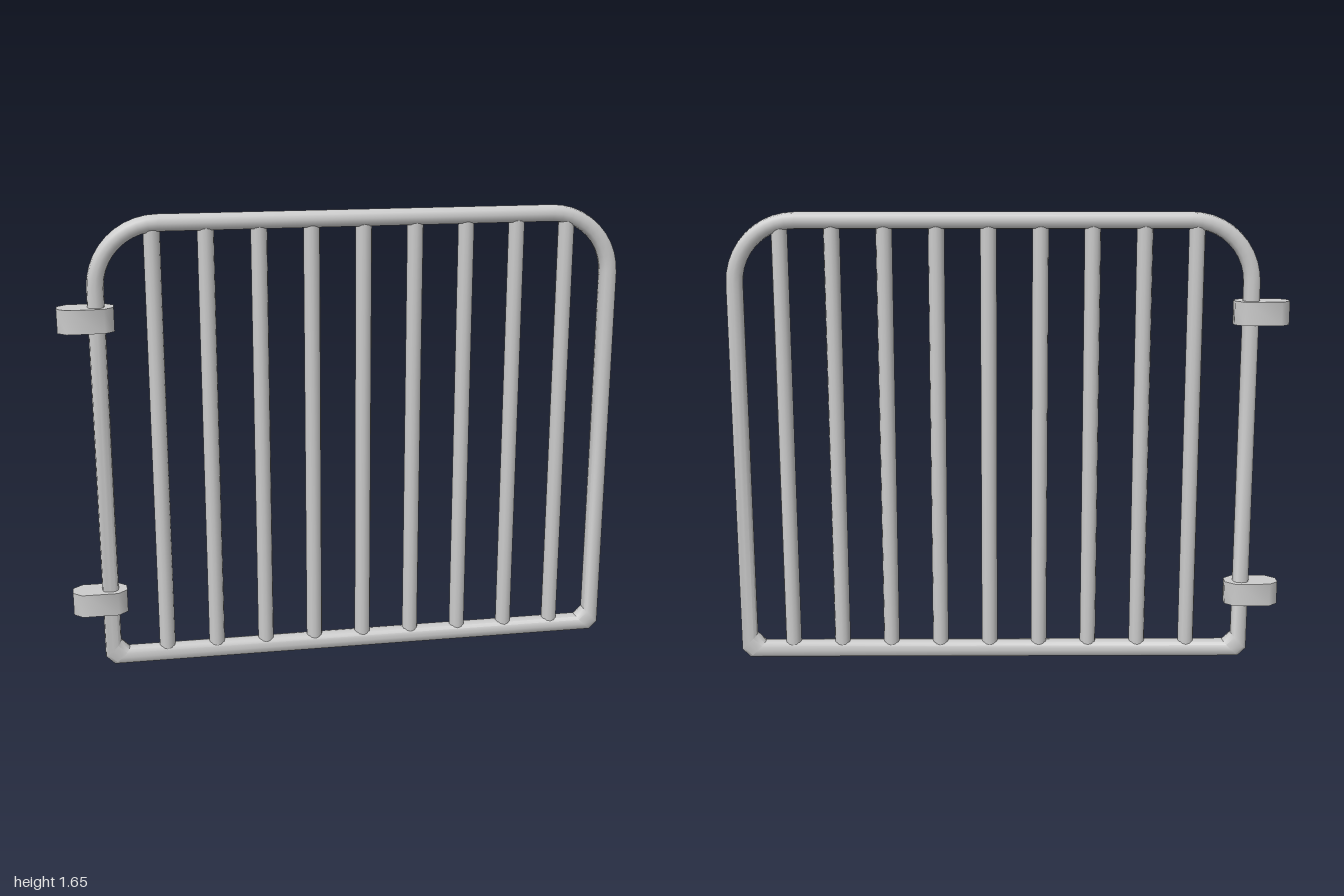
import * as THREE from 'three';
import { toCreasedNormals } from 'three/addons/utils/BufferGeometryUtils.js';

const LEFT = -0.865, RIGHT = 0.97, BOTTOM = 0.03, TOP = 1.625; // tube centre lines
const BEND = 0.22, HALF_W = 0.03, HALF_D = 0.035, SIDES = 12;

// Closed tube swept through rings, each with a centre (x, y) and an outward direction (nx, ny)
function frameGeometry() {
  const rings = [];
  // Square bottom corner, cut off by a short mitred segment
  const corner = (x, s, order) => {
    const cut = 0.03;
    const up = { x, y: BOTTOM + cut, nx: s, ny: -1 };
    const along = { x: x - s * cut, y: BOTTOM, nx: s, ny: -1 };
    rings.push(...(order ? [along, up] : [up, along]));
  };
  // Rounded top corner
  const bend = (cx, start) => {
    for (let i = 0; i <= 10; i++) {
      const a = start + (i / 10) * Math.PI / 2, c = Math.cos(a), s = Math.sin(a);
      rings.push({ x: cx + BEND * c, y: TOP - BEND + BEND * s, nx: c, ny: s });
    }
  };
  corner(RIGHT, 1, true);
  bend(RIGHT - BEND, 0);
  bend(LEFT + BEND, Math.PI / 2);
  corner(LEFT, -1, false);

  const positions = [], index = [];
  const soft = v => Math.sign(v) * Math.abs(v) ** 0.75; // slightly squared oval
  for (const r of rings) {
    for (let j = 0; j < SIDES; j++) {
      const a = (j / SIDES) * Math.PI * 2;
      const w = HALF_W * soft(Math.cos(a)), d = HALF_D * soft(Math.sin(a));
      positions.push(r.x + r.nx * w, r.y + r.ny * w, d);
    }
  }
  for (let i = 0; i < rings.length; i++) {
    const next = (i + 1) % rings.length;
    for (let j = 0; j < SIDES; j++) {
      const k = (j + 1) % SIDES;
      const a = i * SIDES + j, b = i * SIDES + k, c = next * SIDES + k, d = next * SIDES + j;
      index.push(a, d, b, d, c, b);
    }
  }
  const geo = new THREE.BufferGeometry();
  geo.setAttribute('position', new THREE.Float32BufferAttribute(positions, 3));
  geo.setIndex(index);
  return toCreasedNormals(geo, 0.7);
}

// Hinge block: oblong outline with faceted ends, extruded upwards
function hingeGeometry(height) {
  const outline = [
    [-1, -0.022], [-0.967, -0.052], [-0.838, -0.052], [-0.805, -0.022],
    [-0.805, 0.022], [-0.838, 0.052], [-0.967, 0.052], [-1, 0.022],
  ].map(([x, z]) => new THREE.Vector2(x, z));
  const geo = new THREE.ExtrudeGeometry(new THREE.Shape(outline), { depth: height, bevelEnabled: false });
  geo.rotateX(-Math.PI / 2);
  return toCreasedNormals(geo, 0.9);
}

export function createModel() {
  const model = new THREE.Group();
  model.name = 'gate';
  const material = new THREE.MeshStandardMaterial({ color: 0xcccccc });
  const add = (name, geometry, x = 0, y = 0) => {
    const mesh = new THREE.Mesh(geometry, material);
    mesh.name = name;
    mesh.position.set(x, y, 0);
    model.add(mesh);
  };

  add('frame', frameGeometry());

  // Vertical bars
  const barTop = 1.612;
  const barGeo = new THREE.CylinderGeometry(0.029, 0.029, barTop - BOTTOM, 12);
  for (let i = 0; i < 9; i++) add(`bar${i + 1}`, barGeo, -0.666 + i * 0.184, (barTop + BOTTOM) / 2);

  // Hinges around the right-hand post
  const hinge = hingeGeometry(0.085);
  add('lowerHinge', hinge, 0, 0.21);
  add('upperHinge', hinge, 0, 1.257);

  return model;
}
